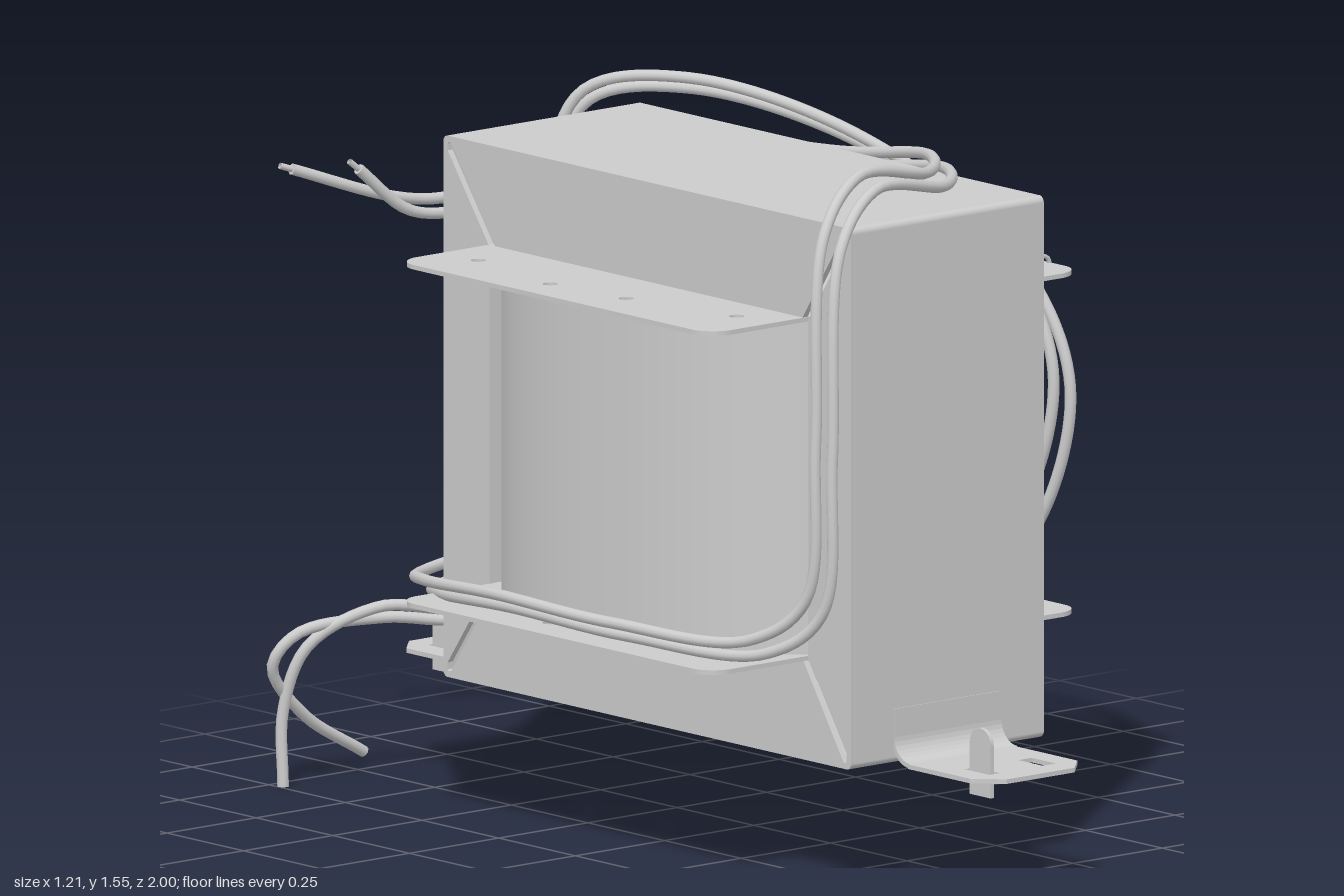
import * as THREE from 'three';

const CX = -0.05, CZ = 0.025;            // centre of the frame in plan
const X0 = -0.32, X1 = 0.22;             // frame sides
const Z0 = -0.64, Z1 = 0.69, Y0 = 0.272, Y1 = 1.446;   // frame outside
const OZ0 = -0.49, OZ1 = 0.55, OY0 = 0.49, OY1 = 1.23; // frame opening
const mat = new THREE.MeshStandardMaterial({ color: 0xcccccc, side: THREE.DoubleSide });
const v = (p) => new THREE.Vector3(...p);

function add(group, name, geometry) {
  const mesh = new THREE.Mesh(geometry, mat);
  mesh.name = name;
  group.add(mesh);
  return mesh;
}

const poly = (pts) => new THREE.Shape(pts.map(([a, b]) => new THREE.Vector2(a, b)));

function roundRect(a0, b0, a1, b1, r, S = THREE.Shape) {
  const s = new S();
  s.moveTo(a0 + r, b0);
  s.lineTo(a1 - r, b0); s.absarc(a1 - r, b0 + r, r, -Math.PI / 2, 0);
  s.lineTo(a1, b1 - r); s.absarc(a1 - r, b1 - r, r, 0, Math.PI / 2);
  s.lineTo(a0 + r, b1); s.absarc(a0 + r, b1 - r, r, Math.PI / 2, Math.PI);
  s.lineTo(a0, b0 + r); s.absarc(a0 + r, b0 + r, r, Math.PI, Math.PI * 1.5);
  return s;
}

const extrude = (shape, depth) =>
  new THREE.ExtrudeGeometry(shape, { depth, bevelEnabled: false, curveSegments: 10 });
// shape drawn in (z, y), thickness along x
const sidePanel = (shape, x, d) => extrude(shape, d).rotateY(-Math.PI / 2).translate(x + d / 2, 0, 0);
// shape drawn in (x, z), thickness along y
const flatPanel = (shape, y, d) => extrude(shape, d).rotateX(Math.PI / 2).translate(0, y + d / 2, 0);

// Channel frame: a folded band with mitred lips on both open sides
function frame() {
  const g = new THREE.Group();
  g.name = 'frame';
  const t = 0.014, gap = 0.018;
  const band = roundRect(Z0, Y0, Z1, Y1, 0.014);
  band.holes.push(roundRect(Z0 + t, Y0 + t, Z1 - t, Y1 - t, 0.004, THREE.Path));
  add(g, 'frameBand', sidePanel(band, CX, X1 - X0));
  for (const x of [X0 + t / 2, X1 - t / 2]) {
    for (const [yo, yi, n] of [[Y1 - 0.004, OY1, 'topLip'], [Y0 + 0.004, OY0, 'bottomLip']]) {
      add(g, n, sidePanel(poly([[Z0 + gap, yo], [Z1 - gap, yo], [OZ1 - gap, yi], [OZ0 + gap, yi]]), x, t));
    }
    for (const [zo, zi, n] of [[Z1 - 0.004, OZ1, 'frontLip'], [Z0 + 0.004, OZ0, 'backLip']]) {
      add(g, n, sidePanel(poly([[zo, Y0 + gap], [zo, Y1 - gap], [zi, OY1 - 0.004], [zi, OY0 + 0.004]]), x, t));
    }
  }
  return g;
}

// Winding with a bulging plan, between two drilled end plates
function coil() {
  const g = new THREE.Group();
  g.name = 'coil';
  const power = 2.4, rx = 0.413, rz = 0.57;
  const signedPow = (a, e) => Math.sign(a) * Math.abs(a) ** e;
  const winding = new THREE.CylinderGeometry(1, 1, OY1 - OY0, 96, 1, true);
  const p = winding.attributes.position, nr = winding.attributes.normal;
  for (let i = 0; i < p.count; i++) {
    const u = signedPow(p.getX(i), 2 / power), w = signedPow(p.getZ(i), 2 / power);
    const m = v([signedPow(u, power - 1) / rx, 0, signedPow(w, power - 1) / rz]).normalize();
    p.setXYZ(i, -0.055 + rx * u, p.getY(i) + (OY0 + OY1) / 2, 0.03 + rz * w);
    nr.setXYZ(i, m.x, m.y, m.z);
  }
  add(g, 'winding', winding);

  const holes = [[-0.445, -0.38], [-0.493, -0.09], [-0.472, 0.133], [-0.417, 0.43],
    [0.355, -0.38], [0.347, -0.09], [0.355, 0.133], [0.36, 0.43]];
  for (const [y, name] of [[OY0, 'lowerPlate'], [OY1 - 0.005, 'upperPlate']]) {
    const plate = roundRect(-0.582, -0.492, 0.463, 0.535, 0.06);
    for (const [x, z] of holes) plate.holes.push(new THREE.Path().absarc(x, z, 0.016, 0, Math.PI * 2));
    add(g, name, flatPanel(plate, y, 0.01));
  }
  // wire end threaded through the upper plate
  const hook = new THREE.CatmullRomCurve3([[0.33, 1.16], [0.34, 1.19], [0.37, 1.235], [0.42, 1.25],
    [0.455, 1.24], [0.455, 1.21], [0.4, 1.2], [0.34, 1.165]].map(([x, y]) => v([x, y, 0.43])));
  add(g, 'windingEnd', new THREE.TubeGeometry(hook, 40, 0.005, 6));
  return g;
}

// Mounting foot: bent strip, chamfered plate with slots, upright tabs
function foot(name, s, tabs) {
  const g = new THREE.Group();
  g.name = name;
  const z = (d) => CZ + s * d;           // d = distance from the frame centre
  const t = 0.01, r = 0.06, y0 = 0.268, d0 = 0.657, d1 = 0.975, xa = -0.205, xb = 0.095, c = 0.055;
  const bend = [[z(d0), 0.39], [z(d0 + t), 0.39]];
  const arc = (rad) => Array.from({ length: 9 }, (_, i) => {
    const a = (i / 8) * Math.PI / 2;
    return [z(d0 + r - rad * Math.cos(a)), y0 + r - rad * Math.sin(a)];
  });
  bend.push(...arc(r - t), ...arc(r).reverse());
  add(g, 'footBend', sidePanel(poly(bend), CX, xb - xa));

  const plate = poly([[xa, z(d0 + r)], [xb, z(d0 + r)], [xb, z(d1 - c)], [xb - c, z(d1)], [xa + c, z(d1)], [xa, z(d1 - c)]]);
  for (const [a, b] of [[-0.147, -0.117], [0.003, 0.04]]) {
    plate.holes.push(new THREE.Path([[a, z(0.835)], [b, z(0.835)], [b, z(0.915)], [a, z(0.915)]]
      .map(([x, q]) => new THREE.Vector2(x, q))));
  }
  add(g, 'footPlate', flatPanel(plate, y0 + t / 2, t));

  const mid = z(0.876), w = 0.034;
  const tab = new THREE.Shape().moveTo(mid - w, 0.225).lineTo(mid + w, 0.225).lineTo(mid + w, 0.338);
  tab.absarc(mid, 0.338, w, 0, Math.PI).lineTo(mid - w, 0.225);
  for (const x of tabs) add(g, 'footTab', sidePanel(tab, x, 0.009));
  return g;
}

// Pair of leads wrapped once around the body; a fourth number sets the pair's spacing in z
function leads() {
  const g = new THREE.Group();
  g.name = 'leads';
  const radius = 0.0125;
  const run = [
    [-0.33, 1.29, -0.8], [-0.2, 1.27, -0.79], [0, 1.29, -0.78], [0.18, 1.33, -0.69], [0.265, 1.39, -0.42],
    [0.265, 1.43, 0], [0.2, 1.485, 0.33], [0, 1.505, 0.56], [-0.25, 1.54, 0.63], [-0.39, 1.43, 0.68], [-0.445, 1.0, 0.72],
    [-0.455, 0.66, 0.7], [-0.5, 0.56, 0.57], [-0.57, 0.55, 0.2], [-0.59, 0.56, -0.15], [-0.51, 0.53, -0.48],
    [-0.31, 0.49, -0.71], [0, 0.51, -0.76], [0.2, 0.56, -0.67], [0.34, 0.545, -0.4], [0.44, 0.515, 0],
    [0.52, 0.6, 0.21], [0.565, 0.95, 0.32], [0.53, 1.22, 0.19], [0.39, 1.43, -0.1, 0], [0.2, 1.53, -0.45, -0.02],
    [0.07, 1.49, -0.64, -0.02], [0.02, 1.3, -0.695, -0.02], [0.02, 0.8, -0.71, -0.02], [0, 0.47, -0.69, -0.02],
    [-0.15, 0.38, -0.77, -0.02], [-0.32, 0.39, -0.85, -0.02],
  ];
  const starts = [[-0.56, 1.37, -0.855], [-0.42, 1.36, -0.8]];
  const ends = [
    [[-0.45, 0.31, -0.93], [-0.485, 0.17, -0.97], [-0.49, 0.005, -0.965]],
    [[-0.48, 0.34, -0.93], [-0.52, 0.27, -0.965], [-0.42, 0.15, -0.98], [-0.245, 0.045, -0.987]],
  ];
  for (let k = 0; k < 2; k++) {
    const shifted = run.map(([x, y, z, dz = 0.02]) => [x + 0.03 * k, y - 0.03 * k, z + dz * k]);
    const curve = new THREE.CatmullRomCurve3([starts[k], ...shifted, ...ends[k]].map(v));
    add(g, 'lead', new THREE.TubeGeometry(curve, 420, radius, 10));
    // stripped tip and end caps
    const dir = curve.getTangent(0).negate(), a = curve.getPoint(0);
    const tip = new THREE.LineCurve3(a, a.clone().addScaledVector(dir, 0.03));
    add(g, 'strippedTip', new THREE.TubeGeometry(tip, 1, 0.007, 8));
    for (const u of [0, 1]) {
      const cap = add(g, 'leadCap', new THREE.CircleGeometry(radius, 10));
      cap.position.copy(curve.getPoint(u));
      cap.quaternion.setFromUnitVectors(new THREE.Vector3(0, 0, 1), curve.getTangent(u).multiplyScalar(u ? 1 : -1));
    }
  }
  return g;
}

export function createModel() {
  const model = new THREE.Group();
  model.name = 'transformer';
  model.add(frame(), coil(), foot('frontFoot', 1, [-0.135]), foot('backFoot', -1, [-0.135, 0.018]), leads());
  return model;
}
